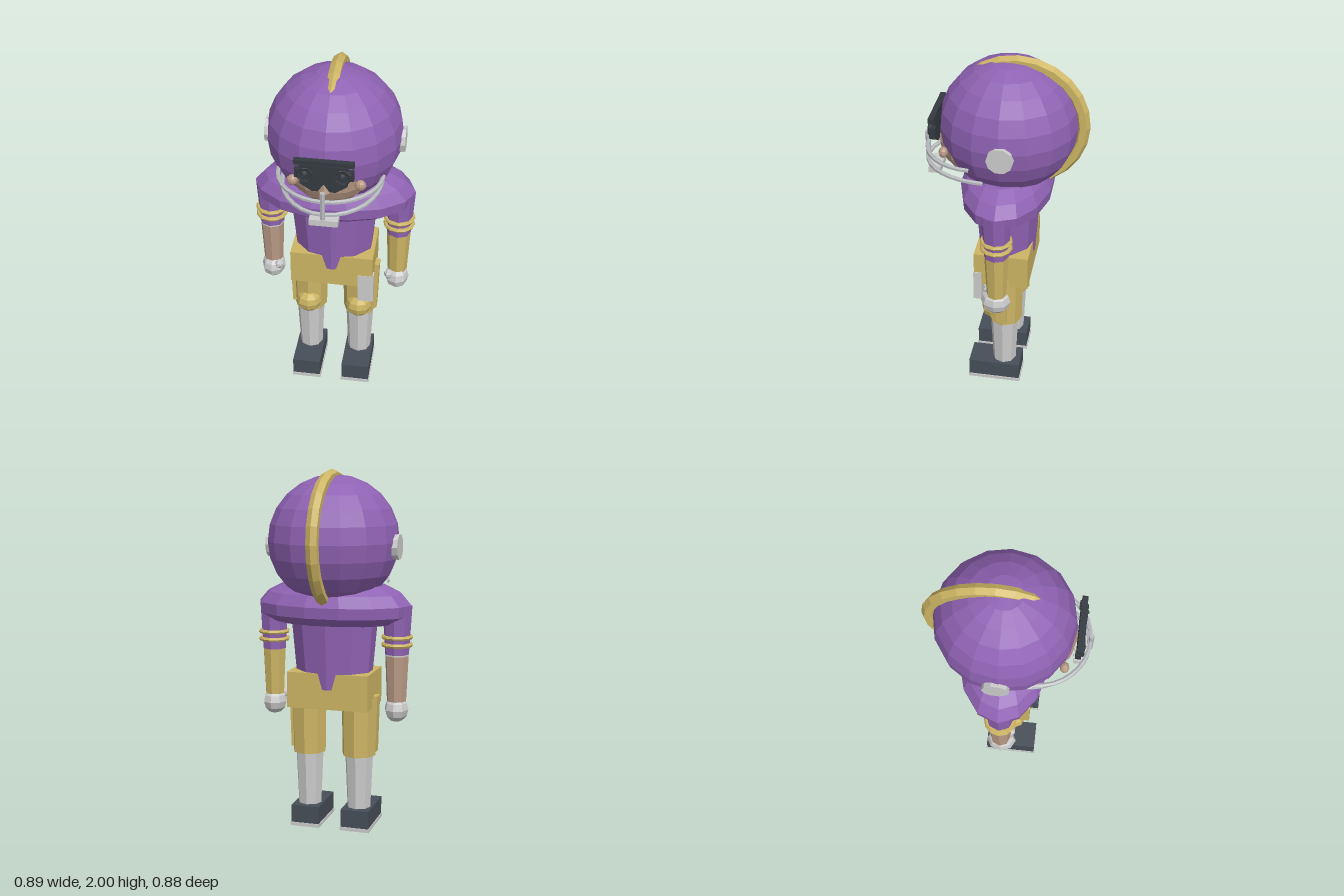
import * as THREE from 'three';

const mat = (name, color) => {
  const m = new THREE.MeshStandardMaterial({ color, flatShading: true });
  m.name = name;
  return m;
};

export function createModel() {
  const purple = mat('purple', 0x8f62b3);
  const gold = mat('gold', 0xcdb564);
  const white = mat('white', 0xcccccc);
  const steel = mat('steel', 0xb9bcbf);
  const skin = mat('skin', 0xb99a85);
  const black = mat('black', 0x343a40);
  const boot = mat('boot', 0x474e57);

  const model = new THREE.Group();
  model.name = 'footballPlayer';

  const add = (name, geo, material, x, y, z, parent = model) => {
    const m = new THREE.Mesh(geo, material);
    m.name = name;
    m.position.set(x, y, z);
    parent.add(m);
    return m;
  };
  const box = (w, h, d) => new THREE.BoxGeometry(w, h, d);
  const ball = (rx, ry, rz, w = 8, h = 6) => new THREE.SphereGeometry(1, w, h).scale(rx, ry, rz);
  const post = (top, bottom, h, n = 8) => new THREE.CylinderGeometry(top, bottom, h, n);

  // Helmet with crest and ear discs
  add('helmet', ball(0.36, 0.357, 0.367, 16, 12), purple, 0, 1.615, -0.015);
  const crest = new THREE.TorusGeometry(0.345, 0.035, 6, 24).rotateY(Math.PI / 2);
  add('helmetCrest', crest, gold, 0, 1.62, -0.06);
  for (const s of [-1, 1]) {
    const disc = post(0.07, 0.07, 0.05, 10).rotateZ(Math.PI / 2);
    add('earDisc', disc, white, s * 0.346, 1.59, -0.025);
  }

  // Face
  add('face', ball(0.22, 0.205, 0.19, 12, 10), skin, 0, 1.525, 0.17);
  add('nose', new THREE.ConeGeometry(0.03, 0.07, 4), skin, 0, 1.515, 0.365);
  for (const s of [-1, 1]) add('cheek', ball(0.03, 0.03, 0.025), skin, s * 0.175, 1.5, 0.305);

  // Goggles
  const goggles = new THREE.Group();
  goggles.name = 'goggles';
  model.add(goggles);
  add('browBar', box(0.305, 0.025, 0.03), black, 0, 1.662, 0.372, goggles);
  const bridge = new THREE.Shape([
    [-0.12, 0.08], [0.12, 0.08], [0.12, -0.03], [0.06, -0.07], [0.03, -0.07],
    [0, -0.025], [-0.03, -0.07], [-0.06, -0.07], [-0.12, -0.03],
  ].map(([x, y]) => new THREE.Vector2(x, y)));
  const bridgeGeo = new THREE.ExtrudeGeometry(bridge, { depth: 0.035, bevelEnabled: false });
  add('goggleBody', bridgeGeo, black, 0, 1.572, 0.356, goggles);
  for (const s of [-1, 1]) {
    const rim = new THREE.TorusGeometry(0.038, 0.01, 5, 8).rotateZ(Math.PI / 8);
    add('lensRim', rim, black, s * 0.095, 1.595, 0.385, goggles);
    add('lens', post(0.035, 0.035, 0.03).rotateX(Math.PI / 2), black, s * 0.095, 1.595, 0.376, goggles);
    add('lensBolt', ball(0.013, 0.013, 0.01, 6, 4), boot, s * 0.095, 1.605, 0.392, goggles);
    add('sideClip', box(0.03, 0.05, 0.03), black, s * 0.135, 1.595, 0.365, goggles);
  }

  // Face guard: two curved bars, an upright and a chin cup
  const bar = (name, rx, y, zBack, zFront) => {
    const pts = [];
    for (let i = 0; i <= 12; i++) {
      const a = (i / 12) * Math.PI;
      pts.push(new THREE.Vector3(rx * Math.cos(a), y, zBack + (zFront - zBack) * Math.sin(a)));
    }
    const curve = new THREE.CatmullRomCurve3(pts);
    add(name, new THREE.TubeGeometry(curve, 16, 0.012, 6), steel, 0, 0, 0);
  };
  bar('upperFaceBar', 0.275, 1.463, 0.15, 0.425);
  bar('lowerFaceBar', 0.265, 1.385, 0.08, 0.425);
  add('faceUpright', post(0.014, 0.014, 0.16, 6), steel, 0, 1.44, 0.428);
  add('chinCup', box(0.15, 0.035, 0.065), white, 0, 1.322, 0.382);

  // Shoulder pads
  const padProfile = [[0, 1.165], [0.78, 1.17], [0.98, 1.215], [1, 1.275], [0.88, 1.335], [0.68, 1.378], [0, 1.385]];
  const pads = new THREE.LatheGeometry(padProfile.map(([r, y]) => new THREE.Vector2(r, y)), 14);
  add('shoulderPads', pads.rotateY(Math.PI / 14).scale(0.435, 1, 0.25), purple, 0, 0, -0.01);

  // Torso, its front and back edges breaking through the belt
  const torso = post(1, 0.855, 0.39, 10).scale(0.245, 1, 0.183);
  add('torso', torso, purple, 0, 1.005, -0.005);
  add('hips', box(0.46, 0.2, 0.3), gold, 0, 0.8, -0.005);
  add('towel', box(0.088, 0.18, 0.045), white, 0.193, 0.69, 0.125);

  for (const s of [-1, 1]) {
    // Arm
    const arm = new THREE.Group();
    arm.name = s < 0 ? 'rightArm' : 'leftArm';
    arm.position.set(s * 0.355, 0, -0.005);
    model.add(arm);
    add('sleeve', post(0.083, 0.067, 0.27), purple, 0, 1.138, 0, arm);
    add('forearm', post(0.066, 0.054, 0.26), s < 0 ? skin : gold, 0, 0.873, 0, arm);
    if (s < 0) add('cuff', post(0.068, 0.068, 0.008), white, 0, 1.001, 0, arm);
    for (const y of [1.1, 1.058]) {
      const band = new THREE.TorusGeometry(0.076, 0.012, 6, 12).rotateX(Math.PI / 2);
      add('armBand', band, gold, 0, y, 0, arm);
    }
    add('hand', ball(0.067, 0.072, 0.082), white, 0, 0.696, 0.005, arm);
    add('thumb', ball(0.027, 0.027, 0.027, 6, 5), white, -s * 0.042, 0.735, 0.055, arm);

    // Leg
    const leg = new THREE.Group();
    leg.name = s < 0 ? 'rightLeg' : 'leftLeg';
    leg.position.set(s * 0.145, 0, -0.012);
    model.add(leg);
    add('thigh', post(0.1, 0.095, 0.32), gold, 0, 0.585, -0.005, leg);
    const guard = add('thighStripe', box(0.025, 0.32, 0.06), gold, s * 0.093, 0.607, 0.003, leg);
    guard.rotation.z = -s * 0.03;
    add('kneePad', ball(0.073, 0.07, 0.06), gold, 0, 0.49, 0.07, leg);
    add('sock', post(0.081, 0.066, 0.34), white, 0, 0.27, 0, leg);
    add('shoe', box(0.16, 0.1, 0.295), boot, 0, 0.07, 0.05, leg);
    add('sole', box(0.168, 0.02, 0.303), white, 0, 0.01, 0.05, leg);
  }
  return model;
}
